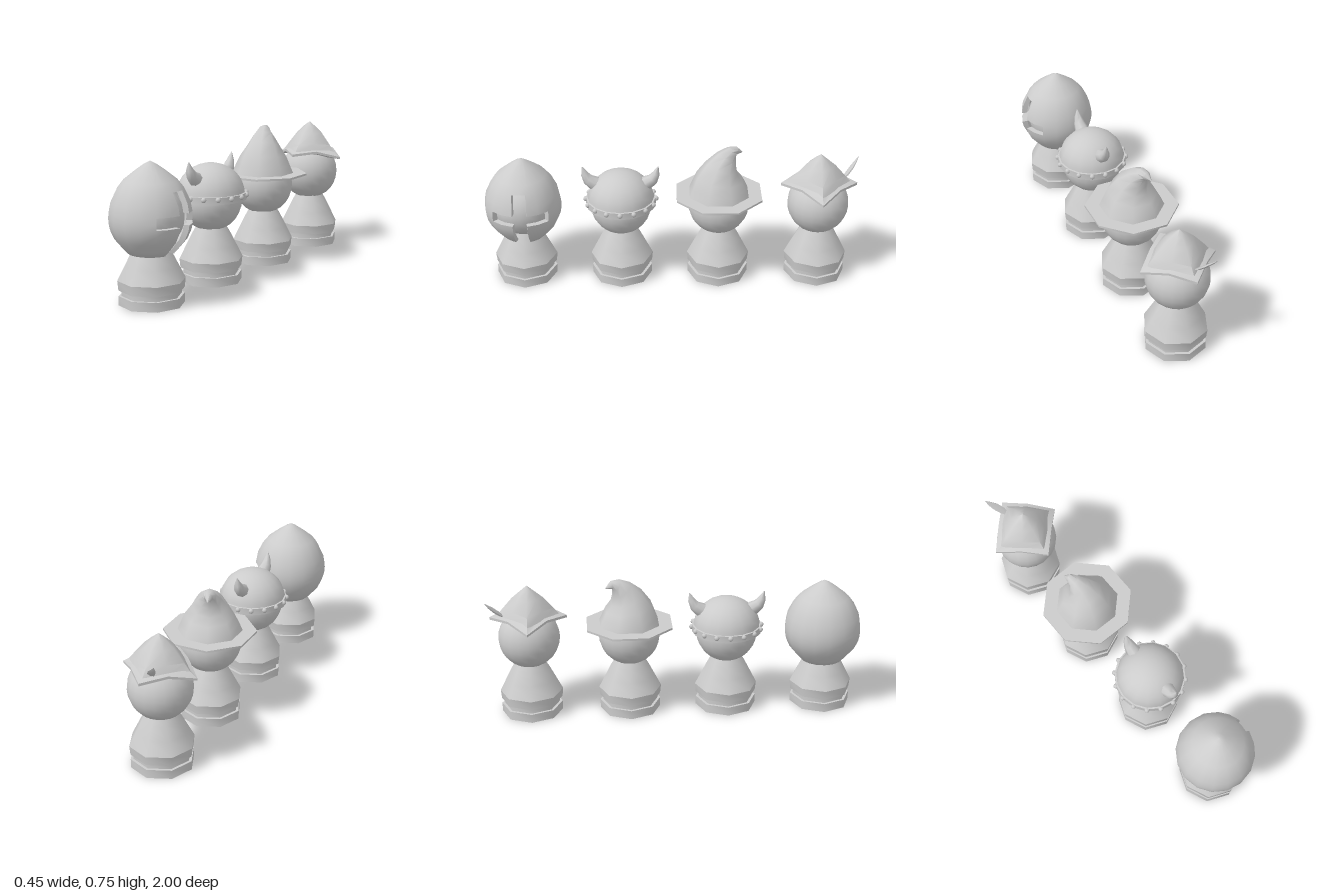
import * as THREE from 'three';
import { toCreasedNormals } from 'three/addons/utils/BufferGeometryUtils.js';

const grey = new THREE.MeshStandardMaterial({ color: 0xcccccc });
const thin = new THREE.MeshStandardMaterial({ color: 0xcccccc, side: THREE.DoubleSide });
const V = (x, y, z) => new THREE.Vector3(x, y, z);

function add(parent, name, geometry, material = grey) {
  const mesh = new THREE.Mesh(geometry, material);
  mesh.name = name;
  parent.add(mesh);
  return mesh;
}

// Geometry from a list of four-cornered faces, creased at sharp edges
function fromQuads(quads, crease = 0.9) {
  const pos = [];
  for (const [a, b, c, d] of quads)
    for (const p of [a, b, c, a, c, d]) pos.push(p.x, p.y, p.z);
  const g = new THREE.BufferGeometry();
  g.setAttribute('position', new THREE.Float32BufferAttribute(pos, 3));
  return toCreasedNormals(g, crease);
}

// Skin over closed rings listed from bottom to top
function skin(rings, crease) {
  const quads = [];
  for (let i = 0; i + 1 < rings.length; i++) {
    const n = rings[i].length;
    for (let j = 0; j < n; j++) {
      const k = (j + 1) % n;
      quads.push([rings[i][j], rings[i][k], rings[i + 1][k], rings[i + 1][j]]);
    }
  }
  return fromQuads(quads, crease);
}

// Tapered sweep through [x, y, z, radius] stations
function sweep(stations, sides, flat = 1) {
  const pts = stations.map(s => V(s[0], s[1], s[2]));
  const rings = stations.map((s, i) => {
    const t = pts[Math.min(i + 1, pts.length - 1)].clone().sub(pts[Math.max(i - 1, 0)]).normalize();
    const u = V(1, 0, 0).addScaledVector(t, -t.x).normalize();
    const v = t.clone().cross(u);
    return Array.from({ length: sides }, (_, j) => {
      const a = (j + 0.5) * 2 * Math.PI / sides;
      return pts[i].clone().addScaledVector(u, s[3] * Math.cos(a)).addScaledVector(v, s[3] * flat * Math.sin(a));
    });
  });
  return skin(rings, 1);
}

const lathe = (points, sides) => toCreasedNormals(
  new THREE.LatheGeometry(points.map(p => new THREE.Vector2(...p)), sides), 0.9);

// Shared pawn: stepped octagonal foot, neck and round head
function pawn(name, z) {
  const g = new THREE.Group();
  g.name = name;
  g.position.z = z;
  add(g, 'foot', lathe([[0, 0], [0.163, 0], [0.163, 0.047], [0.148, 0.047], [0.148, 0.075],
    [0.163, 0.075], [0.168, 0.123]], 8));
  add(g, 'neck', lathe([[0.168, 0.123], [0.133, 0.192], [0.1, 0.257], [0.082, 0.287], [0.07, 0.31]], 8));
  add(g, 'head', new THREE.SphereGeometry(0.163, 20, 14)).position.y = 0.43;
  return g;
}

// Closed pointed helmet: thick shell with a cross-shaped opening on +x
function greatHelm() {
  const profile = [[0.115, 0.257], [0.14, 0.285], [0.177, 0.33], [0.197, 0.375], [0.203, 0.406], [0.205, 0.435],
    [0.202, 0.464], [0.193, 0.51], [0.163, 0.572], [0.132, 0.612], [0.072, 0.66], [0.03, 0.69], [0.001, 0.705]];
  const rings = inset => profile.map(([r, y]) => {
    const s = Math.min(0.4, Math.asin(Math.min(1, 0.038 / r)));
    const angles = [-s, 0, s, 0.5, 0.8];
    for (let k = 1; k < 12; k++) angles.push(0.8 + k * (2 * Math.PI - 1.6) / 12);
    angles.push(-0.8, -0.5);
    const R = Math.max(0.0005, r - inset);
    return angles.map(a => V(R * Math.cos(a), y - (r < 0.1 ? inset : 0), -R * Math.sin(a)));
  });
  const outer = rings(0), inner = rings(0.03), n = outer[0].length, quads = [];
  const solid = (i, j) => {
    j = (j + n) % n;
    if (i < 0) return false;
    if (j < 2 && i < 8) return false;
    return !((j < 4 || j >= n - 2) && (i === 4 || i === 5));
  };
  for (let i = 0; i + 1 < profile.length; i++) for (let j = 0; j < n; j++) {
    if (!solid(i, j)) continue;
    const k = (j + 1) % n;
    const corners = [[i, j], [i, k], [i + 1, k], [i + 1, j]];
    const o = corners.map(([r, c]) => outer[r][c]), q = corners.map(([r, c]) => inner[r][c]);
    quads.push(o, [...q].reverse());
    // Walls along the opening and the lower rim
    const open = [!solid(i - 1, j), !solid(i, j + 1), i + 2 < profile.length && !solid(i + 1, j), !solid(i, j - 1)];
    open.forEach((isOpen, e) => {
      const f = (e + 1) % 4;
      if (isOpen) quads.push([o[f], o[e], q[e], q[f]]);
    });
  }
  return fromQuads(quads);
}

// Diamond ring: radius, heights at the x corners, z corners and side middles
function diamond(r, yx, yz, ym, bulge = 0.5) {
  return Array.from({ length: 8 }, (_, j) => {
    const a = j * Math.PI / 4, mid = j % 2;
    const R = mid ? r * bulge * Math.SQRT2 : r;
    return V(R * Math.cos(a), mid ? ym : j % 4 ? yz : yx, -R * Math.sin(a));
  });
}

export function createModel() {
  const model = new THREE.Group();
  model.name = 'pawnSet';

  // Pawn with the closed helmet
  const knight = pawn('helmetPawn', 0.795);
  add(knight, 'closedHelmet', greatHelm());

  // Pawn with the horned, riveted cap
  const raider = pawn('hornedPawn', 0.272);
  const dome = [];
  for (let i = 0; i <= 8; i++) {
    const a = i / 8 * Math.PI / 2;
    dome.push([0.18 * Math.cos(a), 0.455 + 0.167 * Math.sin(a)]);
  }
  add(raider, 'dome', lathe(dome, 16));
  add(raider, 'band', lathe([[0.15, 0.435], [0.187, 0.435], [0.187, 0.472], [0.17, 0.474]], 16));
  for (let i = 0; i < 16; i++) {
    const a = i * Math.PI / 8;
    add(raider, 'rivet', new THREE.SphereGeometry(0.014, 8, 6))
      .position.set(0.187 * Math.sin(a), 0.46, 0.187 * Math.cos(a));
  }
  for (const s of [1, -1]) {
    add(raider, 'horn', sweep([[0, 0.535, s * 0.1, 0.034], [0, 0.556, s * 0.14, 0.038], [0, 0.578, s * 0.172, 0.03],
      [0, 0.61, s * 0.189, 0.02], [0, 0.652, s * 0.2, 0.002]], 8));
  }

  // Pawn with the wide brim and bent cone
  const mage = pawn('pointedHatPawn', -0.25);
  const brim = add(mage, 'brim', new THREE.CylinderGeometry(0.2436, 0.2436, 0.011, 8));
  brim.geometry = toCreasedNormals(brim.geometry, 0.9);
  brim.rotation.y = Math.PI / 8;
  brim.position.y = 0.49;
  add(mage, 'bentCone', sweep([[0, 0.492, 0, 0.17], [0, 0.535, 0, 0.152], [0, 0.585, -0.002, 0.13], [-0.005, 0.64, -0.012, 0.092],
    [-0.018, 0.688, -0.037, 0.06], [-0.03, 0.718, -0.065, 0.036], [-0.038, 0.724, -0.09, 0.022], [-0.05, 0.71, -0.122, 0.002]], 8));

  // Pawn with the folded diamond hat and feather
  const ranger = pawn('featherHatPawn', -0.782);
  add(ranger, 'diamondBrim', skin([
    diamond(0.1, 0.53, 0.53, 0.53), diamond(0.203, 0.512, 0.535, 0.548),
    diamond(0.203, 0.524, 0.549, 0.561), diamond(0.15, 0.562, 0.562, 0.57)], 0.6));
  add(ranger, 'crown', skin([
    diamond(0.17, 0.545, 0.552, 0.562, 0.52), diamond(0.135, 0.59, 0.592, 0.6, 0.56),
    diamond(0.08, 0.655, 0.655, 0.655, 0.62), diamond(0.035, 0.695, 0.692, 0.692, 0.65),
    diamond(0.0005, 0.72, 0.72, 0.72)], 1));
  add(ranger, 'feather', sweep([[-0.02, 0.555, -0.12, 0.006], [-0.035, 0.58, -0.148, 0.02],
    [-0.058, 0.612, -0.178, 0.021], [-0.078, 0.638, -0.2, 0.012], [-0.092, 0.662, -0.217, 0.001]], 6, 0.35), thin);

  model.add(knight, raider, mage, ranger);
  return model;
}
